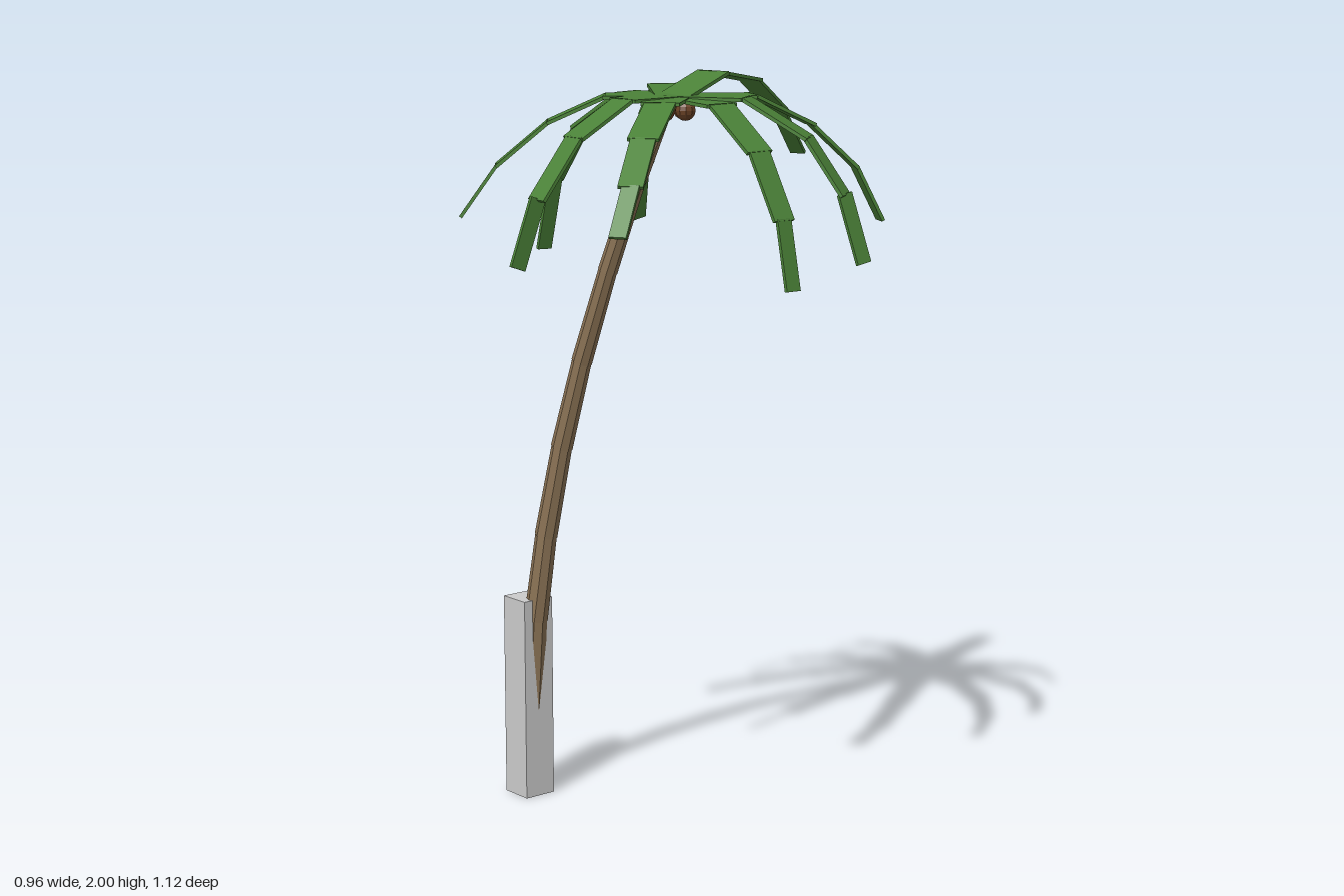
import * as THREE from 'three';

const V = (p) => new THREE.Vector3(...p);
const mat = (name, color) => {
  const m = new THREE.MeshStandardMaterial({ color, flatShading: true });
  m.name = name;
  return m;
};

export function createModel() {
  const bark = mat('bark brown', 0x8b7355);
  const leaf = mat('leaf green', 0x4b8238);
  const nut = mat('coconut brown', 0x6b4226);
  const stone = mat('post grey', 0xcccccc);

  const model = new THREE.Group();
  model.name = 'palmTree';
  const add = (parent, name, geometry, material) => {
    const mesh = new THREE.Mesh(geometry, material);
    mesh.name = name;
    parent.add(mesh);
    return mesh;
  };
  const group = (name) => {
    const g = new THREE.Group();
    g.name = name;
    model.add(g);
    return g;
  };

  // Square post around the foot of the trunk
  add(model, 'basePost', new THREE.BoxGeometry(0.094, 0.56, 0.094), stone).position.set(-0.433, 0.28, 0.188);

  // Leaning trunk of tapered segments, each foot a little wider than the one below ends
  const trunk = group('trunk');
  const path = [
    [-0.425, 0.003, 0.19], [-0.42, 0.25, 0.19], [-0.405, 0.5, 0.183], [-0.372, 0.74, 0.17], [-0.322, 0.99, 0.152],
    [-0.26, 1.23, 0.13], [-0.175, 1.48, 0.108], [-0.088, 1.72, 0.08], [-0.005, 1.935, 0.045],
  ].map(V);
  const radius = (i) => 0.036 - 0.0016 * i;
  const up = new THREE.Vector3(0, 1, 0);
  for (let i = 0; i < path.length - 1; i++) {
    const dir = path[i + 1].clone().sub(path[i]);
    const len = dir.length();
    const seg = add(trunk, 'trunkSegment', new THREE.CylinderGeometry(radius(i + 1) * 0.95, radius(i), len, 8), bark);
    seg.position.copy(path[i]).addScaledVector(dir, 0.5);
    seg.quaternion.setFromUnitVectors(up, dir.normalize());
  }

  // Drooping fronds: four thin slabs along each path of joints
  const start = [0.012, 1.945, 0.035];
  const fronds = {
    back: [[-0.03, 1.995, -0.13], [-0.083, 1.965, -0.303], [-0.13, 1.87, -0.45], [-0.163, 1.75, -0.55]],
    backLeft: [[0.125, 1.945, -0.135], [0.18, 1.87, -0.28], [0.235, 1.755, -0.39], [0.262, 1.615, -0.457]],
    leftBack: [[0.175, 1.945, -0.065], [0.31, 1.85, -0.157], [0.395, 1.71, -0.205], [0.438, 1.54, -0.232]],
    left: [[0.195, 1.935, 0.035], [0.34, 1.83, 0.036], [0.435, 1.67, 0.038], [0.473, 1.5, 0.04]],
    frontLeft: [[0.118, 1.94, 0.17], [0.223, 1.87, 0.31], [0.31, 1.77, 0.42], [0.356, 1.66, 0.497]],
    front: [[0.015, 1.945, 0.206], [0.012, 1.86, 0.36], [0.01, 1.715, 0.475], [0.006, 1.55, 0.535]],
    frontRight: [[-0.11, 1.945, 0.165], [-0.2, 1.88, 0.28], [-0.28, 1.77, 0.385], [-0.34, 1.64, 0.455]],
    right: [[-0.145, 1.945, 0.07], [-0.3, 1.85, 0.093], [-0.4, 1.7, 0.108], [-0.44, 1.515, 0.115]],
    rightBack: [[-0.13, 1.96, -0.055], [-0.275, 1.87, -0.13], [-0.385, 1.73, -0.182], [-0.44, 1.57, -0.212]],
  };
  const widths = [0.1, 0.08, 0.064, 0.045];
  for (const [name, joints] of Object.entries(fronds)) {
    const frond = group(name + 'Frond');
    const pts = [start, ...joints].map(V);
    widths.forEach((w, i) => {
      const dir = pts[i + 1].clone().sub(pts[i]);
      const len = dir.length();
      const slab = add(frond, 'frondSegment', new THREE.BoxGeometry(w, 0.009, len + 0.006), leaf);
      slab.position.copy(pts[i]).addScaledVector(dir, 0.5);
      dir.normalize();
      // Steep tips turn so that their faces point sideways
      const ref = dir.y < -0.89 ? new THREE.Vector3(1, 0, 0) : up;
      const side = ref.clone().cross(dir).normalize();
      const normal = dir.clone().cross(side);
      slab.quaternion.setFromRotationMatrix(new THREE.Matrix4().makeBasis(side, normal, dir));
    });
  }

  // Coconuts hanging under the crown
  const nuts = group('coconuts');
  for (const p of [[0.055, 1.913, 0.035], [-0.01, 1.91, -0.01], [0.02, 1.91, 0.075]]) {
    add(nuts, 'coconut', new THREE.SphereGeometry(0.027, 10, 8), nut).position.set(...p);
  }
  return model;
}
